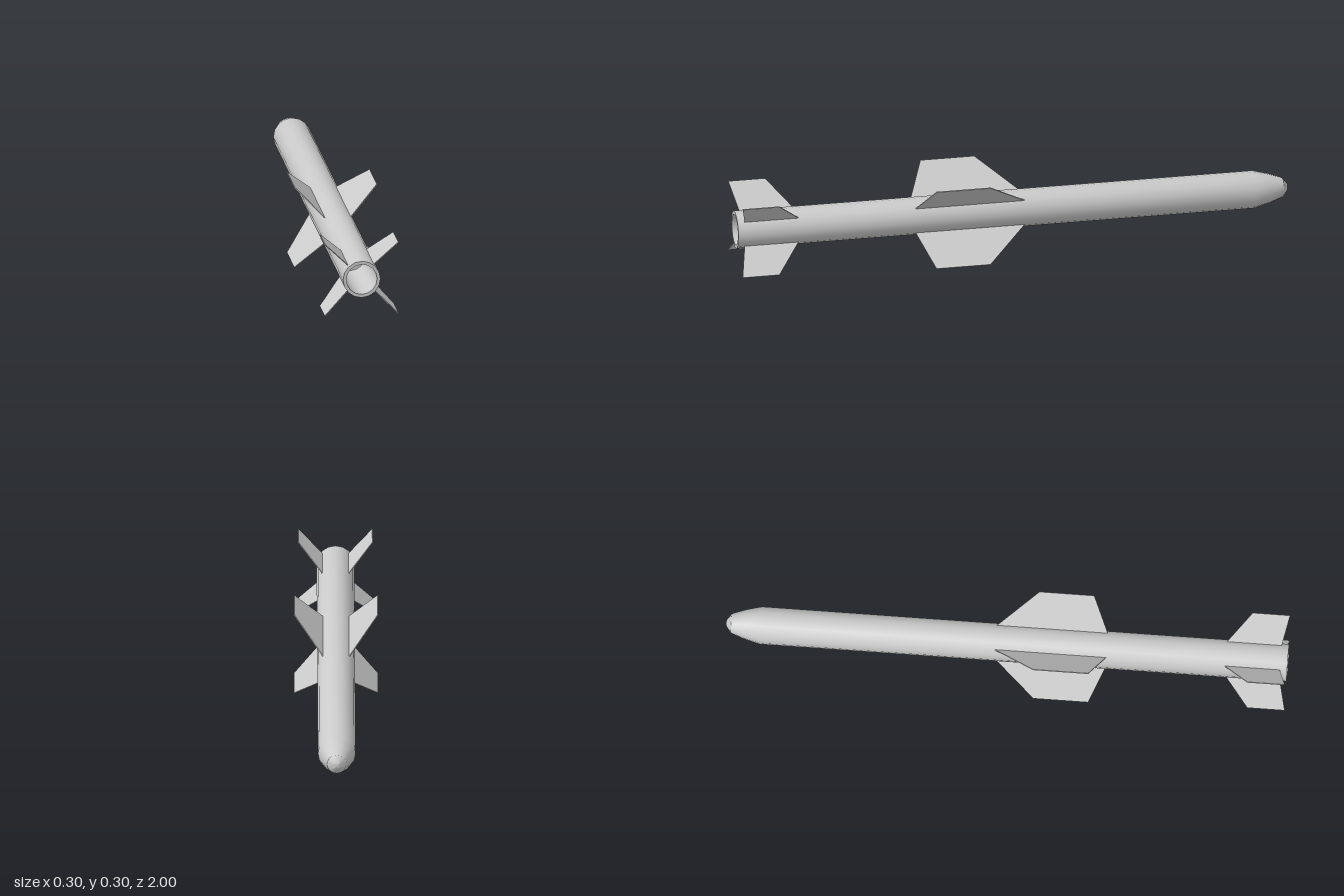
import * as THREE from 'three';
import { toCreasedNormals } from 'three/addons/utils/BufferGeometryUtils.js';

const AXIS_Y = 0.152;
const THICKNESS = 0.003;
const material = new THREE.MeshStandardMaterial({ color: 0xcccccc });

// Flat fin from [radius, z] corners, lying in the plane of the body axis
function finGeometry(corners) {
  const shape = new THREE.Shape(corners.map(([r, z]) => new THREE.Vector2(r, z)));
  const geometry = new THREE.ExtrudeGeometry(shape, { depth: THICKNESS, bevelEnabled: false });
  return geometry.translate(0, 0, -THICKNESS / 2).rotateX(Math.PI / 2);
}

// Four copies in an X arrangement around the body
function finSet(name, corners) {
  const set = new THREE.Group();
  set.name = name + 's';
  const geometry = finGeometry(corners);
  for (let i = 0; i < 4; i++) {
    const fin = new THREE.Mesh(geometry, material);
    fin.name = name;
    fin.rotation.z = Math.PI / 4 + i * Math.PI / 2;
    set.add(fin);
  }
  return set;
}

export function createModel() {
  const model = new THREE.Group();
  model.name = 'missile';

  const assembly = new THREE.Group();
  assembly.name = 'airframe';
  assembly.position.y = AXIS_Y;
  model.add(assembly);

  // Blunt nose, long tube and recessed exhaust turned as one profile
  const profile = [
    [0, -1], [0.012, -0.997], [0.035, -0.98], [0.053, -0.93], [0.067, -0.875],
    [0.067, 1], [0.055, 1], [0.052, 0.7], [0, 0.7],
  ].map(([r, z]) => new THREE.Vector2(r, z));
  const lathe = new THREE.LatheGeometry(profile, 16).rotateX(Math.PI / 2);
  const body = new THREE.Mesh(toCreasedNormals(lathe, Math.PI / 6), material);
  body.name = 'body';
  assembly.add(body);

  // Large mid-body wings and smaller tail fins, rooted just inside the skin
  assembly.add(finSet('wing', [[0.06, -0.045], [0.209, 0.105], [0.209, 0.3], [0.06, 0.358]]));
  assembly.add(finSet('tailFin', [[0.06, 0.775], [0.186, 0.865], [0.186, 0.998], [0.06, 0.973]]));

  return model;
}
